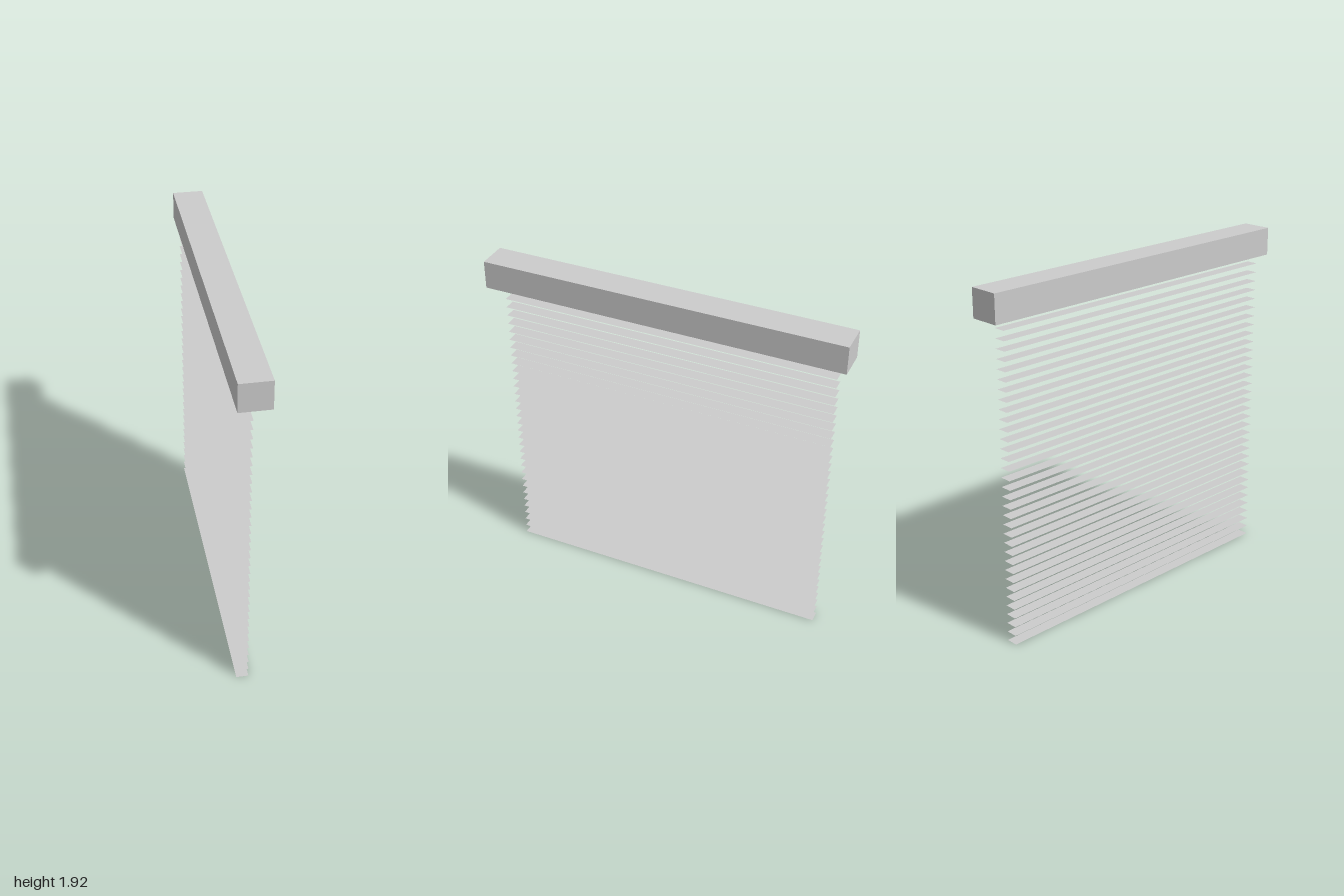
import * as THREE from 'three';

export function createModel() {
  const model = new THREE.Group();
  const grey = new THREE.MeshStandardMaterial({ color: 0xcccccc });
  const slatMaterial = new THREE.MeshStandardMaterial({ color: 0xcccccc, side: THREE.DoubleSide });
  const black = new THREE.MeshStandardMaterial({ color: 0x000000 });

  // Head rail running along z
  const bottom = 1.767, top = 1.922, width = 0.167;
  const headRail = new THREE.Mesh(new THREE.BoxGeometry(width, top - bottom, 2), grey);
  headRail.name = 'headRail';
  headRail.position.y = (top + bottom) / 2;
  model.add(headRail);

  // Dark opening under the rail, framed by a narrow rim
  const rim = 0.02;
  const opening = new THREE.Mesh(new THREE.PlaneGeometry(width - 2 * rim, 2 - 2 * rim), black);
  opening.name = 'railOpening';
  opening.rotation.x = Math.PI / 2;
  opening.position.y = bottom - 0.001;
  model.add(opening);

  // Stack of thin, level slats
  const slats = new THREE.Group();
  slats.name = 'slats';
  const count = 34, highest = 1.722;
  const slatGeometry = new THREE.PlaneGeometry(0.066, 1.87).rotateX(-Math.PI / 2);
  for (let i = 0; i < count; i++) {
    const slat = new THREE.Mesh(slatGeometry, slatMaterial);
    slat.name = 'slat';
    slat.position.set(-0.028, (highest * i) / (count - 1), 0);
    slats.add(slat);
  }
  model.add(slats);

  return model;
}
